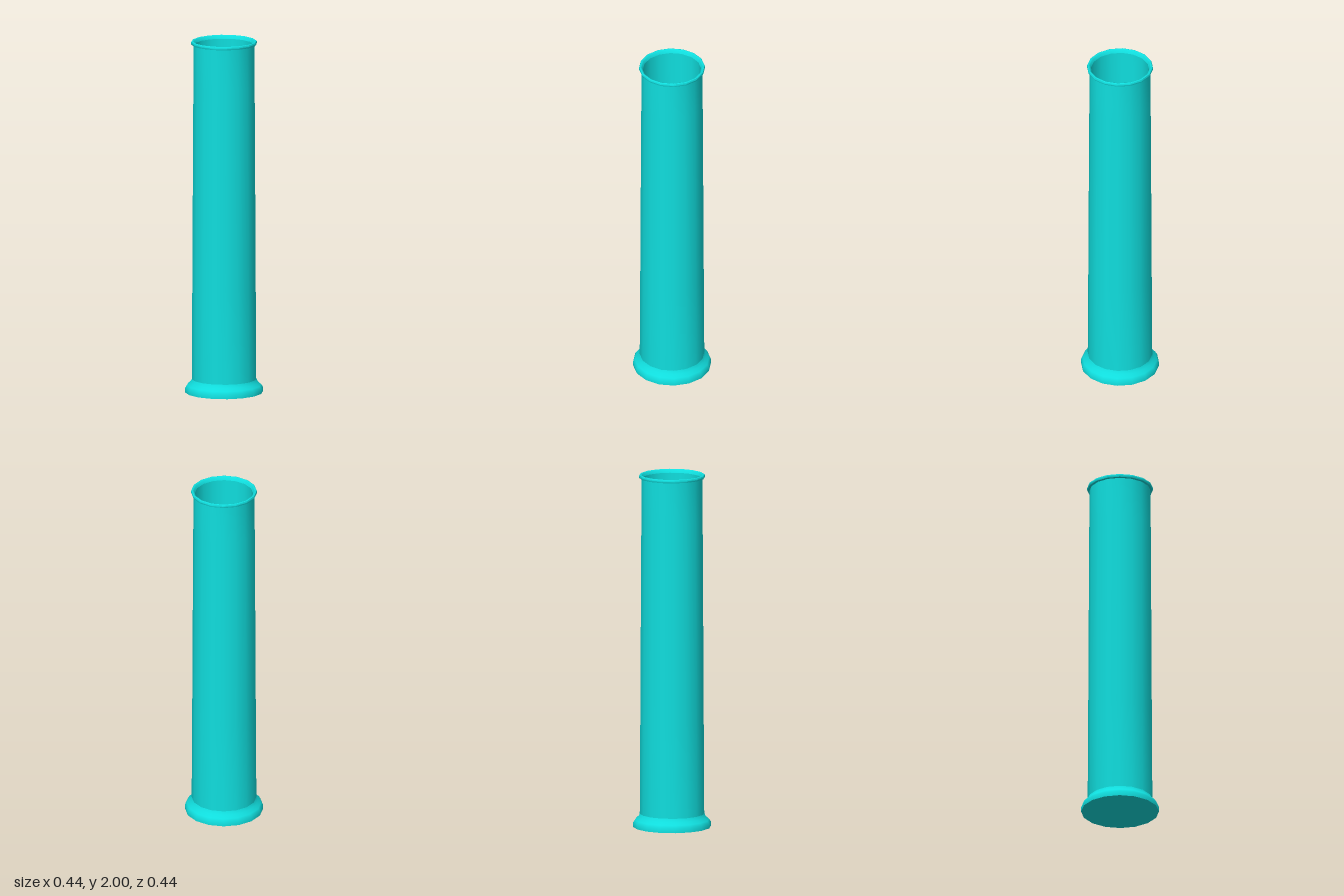
import * as THREE from 'three';
import { toCreasedNormals } from 'three/addons/utils/BufferGeometryUtils.js';

const SIDES = 16;

export function createModel() {
  const group = new THREE.Group();
  group.name = 'tallTube';
  const material = new THREE.MeshStandardMaterial({ color: 0x10dede });

  // Turns a [radius, height] profile; shallow angles stay smooth, edges stay sharp
  const turn = (name, profile) => {
    const points = profile.map(([r, y]) => new THREE.Vector2(r, y));
    const geometry = toCreasedNormals(new THREE.LatheGeometry(points, SIDES), 0.75);
    const mesh = new THREE.Mesh(geometry, material);
    mesh.name = name;
    group.add(mesh);
  };

  // Flared foot with a closed underside
  turn('foot', [[0, 0], [0.218, 0], [0.218, 0.026], [0.208, 0.041], [0.19, 0.056], [0.181, 0.075]]);

  // Slightly tapered outer wall
  turn('outerWall', [[0.181, 0.075], [0.178, 0.6], [0.175, 1.2], [0.172, 1.75], [0.17, 1.98]]);

  // Thin lip around the open top
  turn('rim', [[0.17, 1.98], [0.183, 1.981], [0.186, 1.99], [0.183, 1.998], [0.178, 2], [0.171, 1.997], [0.163, 1.98]]);

  // Hollow inside down to a flat floor
  turn('innerWall', [[0.163, 1.98], [0.163, 0.06]]);
  turn('innerFloor', [[0.163, 0.06], [0, 0.06]]);

  return group;
}
